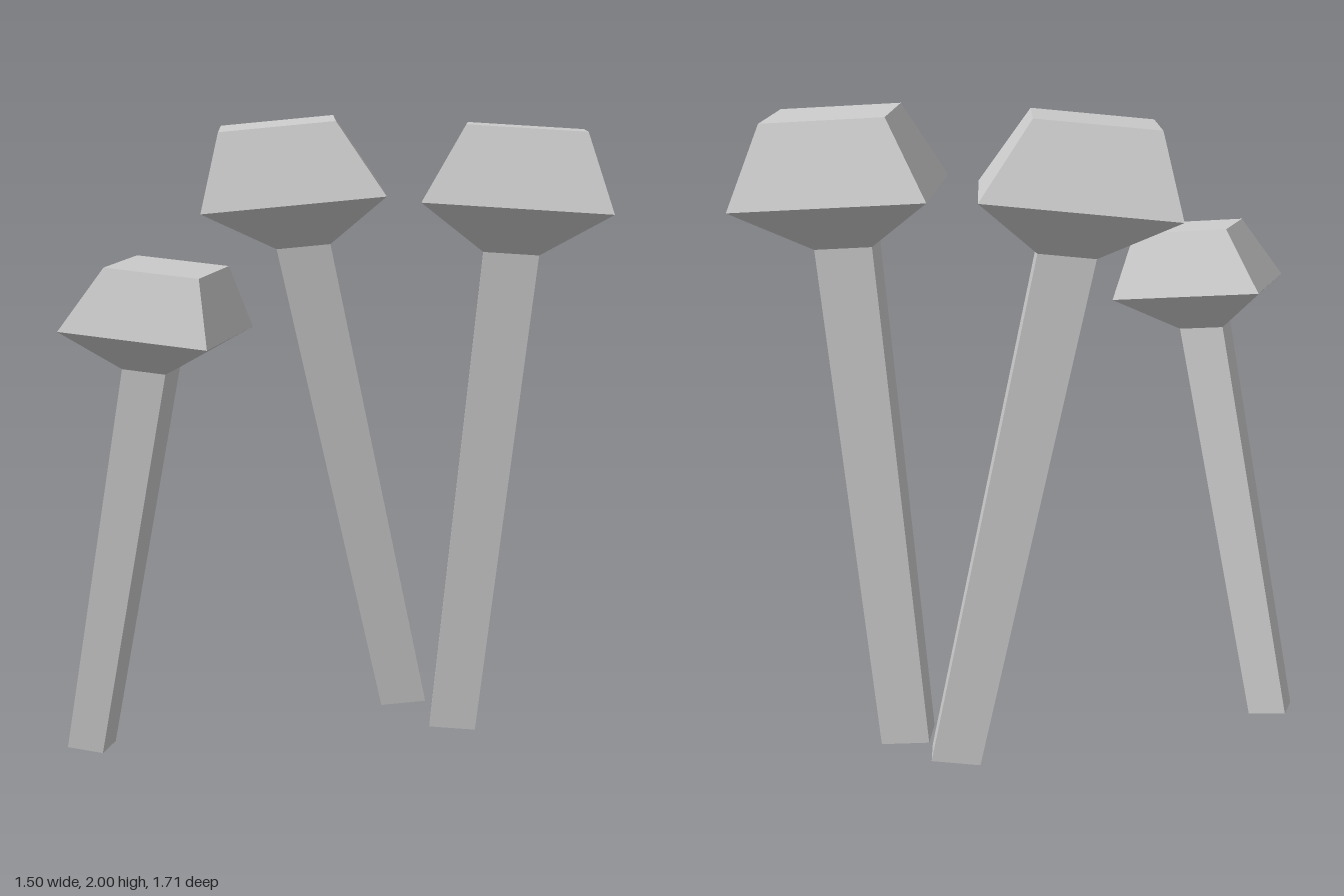
import * as THREE from 'three';

const material = new THREE.MeshStandardMaterial({ color: 0xcccccc, flatShading: true });

// Closed four-sided loft through rings [t along axis, radius scale] in a leaning frame.
function loft(name, { base, axis, u, v }, rings) {
  const [B, W, U, V] = [base, axis, u, v].map((a) => new THREE.Vector3(...a));
  const corners = [[1, 0], [0, 1], [-1, 0], [0, -1]];
  const positions = [];
  for (const [t, r] of rings) {
    for (const [a, b] of corners) {
      const p = B.clone().addScaledVector(W, t).addScaledVector(U, a * r).addScaledVector(V, b * r);
      positions.push(p.x, p.y, p.z);
    }
  }
  const index = [];
  const quad = (a, b, c, d) => index.push(a, b, c, a, c, d);
  for (let i = 0; i < rings.length - 1; i++) {
    for (let j = 0; j < 4; j++) {
      const k = (j + 1) % 4;
      quad(i * 4 + j, i * 4 + 4 + j, i * 4 + 4 + k, i * 4 + k);
    }
  }
  const n = (rings.length - 1) * 4;
  quad(0, 1, 2, 3); // underside
  quad(n + 3, n + 2, n + 1, n); // top
  const indexed = new THREE.BufferGeometry();
  indexed.setAttribute('position', new THREE.Float32BufferAttribute(positions, 3));
  indexed.setIndex(index);
  const geometry = indexed.toNonIndexed();
  geometry.computeVertexNormals();
  const mesh = new THREE.Mesh(geometry, material);
  mesh.name = name;
  return mesh;
}

// Shared profile: slightly flaring stem, then a wide cap with a flat top.
const stemRings = [[0, 0.255], [0.799, 0.298]];
const capRings = [[0.799, 0.298], [0.877, 1], [1, 0.637]];

// Foot centre, axis to the cap top, and the two half diagonals of the cap rim.
const mushrooms = {
  leftMushroom: {
    base: [0.15, 0.013, -0.385], axis: [0.218, 1.962, -0.07],
    u: [0.405, -0.015, 0.07], v: [-0.075, 0.02, 0.41],
  },
  rightMushroom: {
    base: [-0.115, 0.037, -0.46], axis: [-0.258, 1.943, 0.343],
    u: [0.413, 0.02, 0.04], v: [-0.038, -0.035, 0.41],
  },
  smallMushroom: {
    base: [-0.615, 0.013, 0.535], axis: [0.361, 1.557, 0.007],
    u: [0.307, -0.03, 0.12], v: [-0.115, 0.012, 0.31],
  },
};

export function createModel() {
  const model = new THREE.Group();
  model.name = 'mushroomCluster';
  for (const [name, frame] of Object.entries(mushrooms)) {
    const mushroom = new THREE.Group();
    mushroom.name = name;
    mushroom.add(loft('stem', frame, stemRings), loft('cap', frame, capRings));
    model.add(mushroom);
  }
  return model;
}
